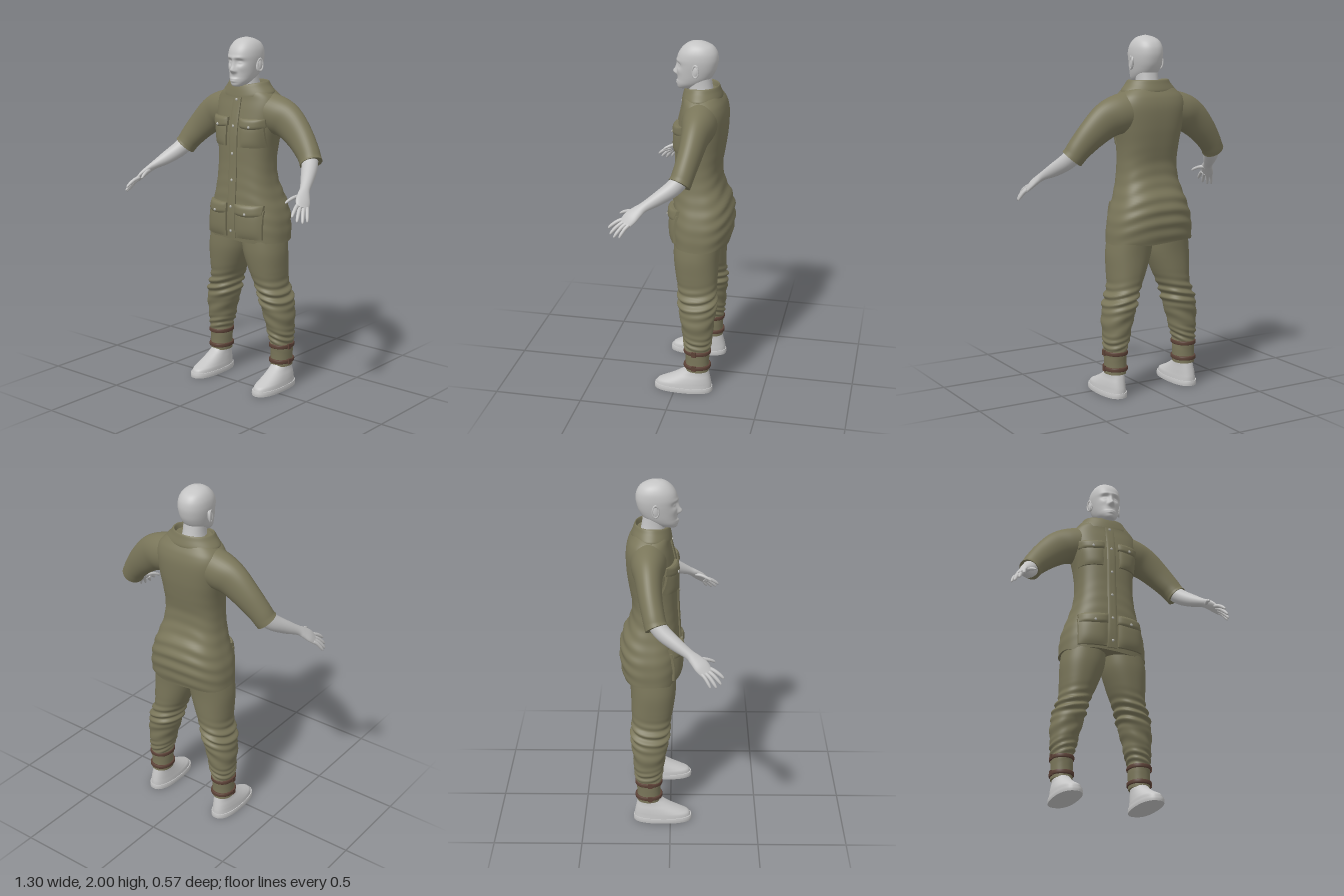
import * as THREE from 'three';

const V = (x, y, z) => new THREE.Vector3(x, y, z);
const mat = (name, color, side = THREE.FrontSide) => {
  const m = new THREE.MeshStandardMaterial({ color, side });
  m.name = name;
  return m;
};
const bump = (d, s) => Math.exp(-(d * d) / (2 * s * s));

// Catmull-Rom interpolation through a table of rows, t in 0..1
function rowAt(rows, t) {
  const f = t * (rows.length - 1), i = Math.min(Math.floor(f), rows.length - 2), u = f - i;
  const r = k => rows[Math.max(0, Math.min(rows.length - 1, k))];
  return rows[0].map((_, c) => {
    const a = r(i - 1)[c], b = r(i)[c], d = r(i + 1)[c], e = r(i + 2)[c];
    return b + 0.5 * u * (d - a + u * (2 * a - 5 * b + 4 * d - e + u * (3 * (b - d) + e - a)));
  });
}

// Joins rings of points into a smooth surface, with flat caps at both ends
function skin(rings, caps = true) {
  const n = rings[0].length, pos = [], idx = [];
  rings.forEach(r => r.forEach(p => pos.push(p.x, p.y, p.z)));
  for (let j = 0; j < rings.length - 1; j++)
    for (let i = 0; i < n; i++) {
      const a = j * n + i, b = j * n + (i + 1) % n;
      idx.push(a, b, a + n, b, b + n, a + n);
    }
  if (caps) [rings[0], rings[rings.length - 1]].forEach((r, end) => {
    const s = pos.length / 3, c = V(0, 0, 0);
    r.forEach(p => { pos.push(p.x, p.y, p.z); c.addScaledVector(p, 1 / n); });
    pos.push(c.x, c.y, c.z);
    for (let i = 0; i < n; i++) {
      const a = s + i, b = s + (i + 1) % n;
      idx.push(s + n, end ? a : b, end ? b : a);
    }
  });
  const g = new THREE.BufferGeometry();
  g.setAttribute('position', new THREE.Float32BufferAttribute(pos, 3));
  g.setIndex(idx);
  g.computeVertexNormals();
  return g;
}

// Upright loft; rows are [y, xMin, xMax, zFront, zBack], n is the squareness
function loft(rows, { n = 2.2, seg = 48, rings = 40, warp = null, caps = true } = {}) {
  const out = [];
  for (let j = 0; j <= rings; j++) {
    const [y, x0, x1, zf, zb] = rowAt(rows, j / rings), ring = [];
    for (let i = 0; i < seg; i++) {
      const th = i / seg * Math.PI * 2, s = Math.sin(th), c = Math.cos(th);
      const p = V((x0 + x1) / 2 + (x1 - x0) / 2 * Math.sign(s) * Math.abs(s) ** (2 / n), y,
        (zf + zb) / 2 + (zf - zb) / 2 * Math.sign(c) * Math.abs(c) ** (2 / n));
      if (warp) warp(p, s, c);
      ring.push(p);
    }
    out.push(ring);
  }
  return skin(out, caps);
}

// Bent limb; rows are [x, y, z, radius along ref, radius across]
function limb(rows, ref, side, seg = 24, rings = 20) {
  const at = t => { const r = rowAt(rows, t); r[0] *= side; return r; };
  const R = V(ref[0] * side, ref[1], ref[2]), out = [];
  for (let j = 0; j <= rings; j++) {
    const t = j / rings, [x, y, z, ra, rb] = at(t);
    const T = V(...at(Math.min(1, t + 0.01))).sub(V(...at(Math.max(0, t - 0.01)))).normalize();
    const A = R.clone().addScaledVector(T, -R.dot(T)).normalize(), B = T.clone().cross(A);
    out.push(Array.from({ length: seg }, (_, i) => {
      const th = i / seg * Math.PI * 2;
      return V(x, y, z).addScaledVector(A, ra * Math.cos(th)).addScaledVector(B, rb * Math.sin(th));
    }));
  }
  return skin(out);
}

const sym = rows => rows.map(([y, w, f, b]) => [y, -w, w, f, b]);
const TORSO_N = 2.6;
const torsoRows = sym([[0.865, 0.25, 0.045, -0.27], [0.94, 0.246, 0.052, -0.283], [1.02, 0.232, 0.052, -0.285],
  [1.1, 0.205, 0.048, -0.272], [1.2, 0.178, 0.042, -0.228], [1.3, 0.169, 0.037, -0.215], [1.4, 0.174, 0.036, -0.23],
  [1.5, 0.19, 0.03, -0.243], [1.6, 0.205, 0.012, -0.245], [1.66, 0.195, -0.002, -0.232], [1.7, 0.16, -0.008, -0.21], [1.73, 0.11, -0.02, -0.19]]);

// Depth of the jacket front at a given x and y
function frontZ(x, y) {
  let lo = 0, hi = 1;
  for (let i = 0; i < 18; i++) { const m = (lo + hi) / 2; rowAt(torsoRows, m)[0] < y ? lo = m : hi = m; }
  const [, , w, f, b] = rowAt(torsoRows, lo), u = Math.min(1, Math.abs(x) / w);
  return (f + b) / 2 + (f - b) / 2 * (1 - u ** TORSO_N) ** (1 / TORSO_N);
}

// Padded cloth panel that follows the jacket front; drop lowers the middle of its bottom edge
function panel(x0, x1, y0, y1, t, drop = 0) {
  const g = new THREE.BoxGeometry(2, 2, 2, 14, 14, 1), p = g.attributes.position;
  for (let i = 0; i < p.count; i++) {
    const u = p.getX(i), v = p.getY(i), x = x0 + (x1 - x0) * (u + 1) / 2;
    const y = y0 + (y1 - y0) * (v + 1) / 2 - drop * (1 - u * u) * (1 - v) / 2;
    const puff = t * (0.6 + 0.4 * (1 - u ** 4) * (1 - v ** 4));
    p.setXYZ(i, x, y, frontZ(x, y) + (p.getZ(i) > 0 ? puff : -0.02));
  }
  g.computeVertexNormals();
  return g;
}

export function createModel() {
  const root = new THREE.Group();
  root.name = 'figure';
  const skinMat = mat('light grey', 0xc4c4c4), cloth = mat('olive cloth', 0x7a765a);
  const leather = mat('brown leather', 0x5c4237), metal = mat('button metal', 0xb4b4ae);
  const add = (name, geo, m, parent = root) => {
    const o = new THREE.Mesh(geo, m);
    o.name = name;
    parent.add(o);
    return o;
  };

  // Head with sculpted face: [x, y, spread x, spread y, depth]
  const face = [[0, 1.825, 0.011, 0.012, 0.022], [0, 1.855, 0.008, 0.022, 0.012], [0, 1.775, 0.018, 0.005, 0.008],
    [0, 1.763, 0.015, 0.005, 0.008], [0, 1.745, 0.018, 0.009, 0.004]];
  for (const s of [-1, 1]) face.push([s * 0.034, 1.868, 0.015, 0.011, -0.016], [s * 0.034, 1.866, 0.01, 0.006, 0.008],
    [s * 0.03, 1.892, 0.02, 0.007, 0.005], [s * 0.014, 1.819, 0.006, 0.006, 0.008], [s * 0.045, 1.835, 0.014, 0.014, 0.004]);
  add('head', loft(sym([[1.732, 0.012, 0.02, -0.01], [1.738, 0.032, 0.03, -0.05], [1.76, 0.054, 0.035, -0.1],
    [1.79, 0.068, 0.034, -0.145], [1.83, 0.078, 0.034, -0.172], [1.87, 0.085, 0.035, -0.185], [1.905, 0.087, 0.036, -0.189],
    [1.94, 0.082, 0.024, -0.182], [1.97, 0.067, 0, -0.16], [1.99, 0.042, -0.03, -0.12], [2, 0.004, -0.071, -0.079]]), {
    seg: 112, rings: 100, warp: (p, s, c) => {
      if (c > 0) for (const [x, y, sx, sy, d] of face) p.z += d * bump(p.x - x, sx) * bump(p.y - y, sy) * Math.min(1, c * 2);
    },
  }), skinMat);
  add('neck', loft(sym([[1.66, 0.075, -0.03, -0.18], [1.74, 0.062, -0.03, -0.16], [1.8, 0.06, -0.03, -0.15]])), skinMat);

  // Jacket body with soft creases over waist and seat
  add('jacketBody', loft(torsoRows, {
    n: TORSO_N, seg: 96, rings: 90, warp: (p, s, c) => {
      const back = Math.max(0, -c), d = 0.004 * bump(p.y - 1.05, 0.13) * Math.sin(p.y * 85 + 5 * s * s + 3 * p.x) * (0.25 + back);
      p.x += s * d;
      p.z += c * d;
      if (p.y < 0.9) p.y += 0.006 * Math.sin(s * 5 + c * 3) * (0.9 - p.y) / 0.035;
    },
  }), cloth);
  add('collar', loft(sym([[1.69, 0.165, 0.008, -0.213], [1.705, 0.162, 0.006, -0.213], [1.735, 0.136, 0, -0.203],
    [1.757, 0.12, -0.008, -0.195], [1.752, 0.11, -0.015, -0.188], [1.71, 0.1, -0.025, -0.18]]), {
    n: 2, seg: 64, caps: false, warp: (p, s, c) => { p.y -= 0.018 * Math.max(0, c) ** 2; },
  }), mat('olive collar', 0x7a765a, THREE.DoubleSide));

  // Button placket and pockets
  const button = (x, y, t) => {
    const b = add('button', new THREE.SphereGeometry(0.008, 16, 10), metal);
    b.scale.z = 0.6;
    b.position.set(x, y, frontZ(x, y) + t);
  };
  add('placket', panel(-0.027, 0.027, 0.88, 1.695, 0.012), cloth);
  for (const y of [1.66, 1.515, 1.36, 1.21, 1.06, 0.92]) button(0, y, 0.012);
  for (const s of [-1, 1]) {
    const pocket = (name, a, b, ...r) => add(name, panel(Math.min(a * s, b * s), Math.max(a * s, b * s), ...r), cloth);
    pocket('chestPocket', 0.05, 0.172, 1.4, 1.53, 0.02);
    pocket('chestPocketFlap', 0.042, 0.18, 1.515, 1.56, 0.028, 0.014);
    pocket('hipPocket', 0.035, 0.192, 0.885, 1.05, 0.022);
    pocket('hipPocketFlap', 0.03, 0.188, 1.025, 1.078, 0.03, 0.014);
    button(s * 0.112, 1.517, 0.029);
    button(s * 0.108, 1.03, 0.031);
  }

  for (const s of [-1, 1]) {
    const side = new THREE.Group();
    side.name = s > 0 ? 'leftSide' : 'rightSide';
    root.add(side);
    const mx = rows => rows.map(([y, a, b, f, k]) => s > 0 ? [y, a, b, f, k] : [y, -b, -a, f, k]);

    // Ear
    const ear = add('ear', new THREE.SphereGeometry(1, 20, 14), skinMat, side);
    ear.scale.set(0.011, 0.036, 0.019);
    ear.position.set(s * 0.088, 1.848, -0.079);
    ear.rotation.set(-0.2, s * -0.3, 0);
    const rim = add('earRim', new THREE.TorusGeometry(0.018, 0.004, 8, 24), skinMat, side);
    rim.scale.y = 1.8;
    rim.position.set(s * 0.096, 1.85, -0.08);
    rim.rotation.set(0, Math.PI / 2 - s * 0.3, 0);

    // Sleeve, forearm and hand
    add('sleeve', limb([[0.08, 1.595, -0.115, 0.105, 0.115], [0.2, 1.573, -0.118, 0.092, 0.108], [0.275, 1.54, -0.115, 0.074, 0.1],
      [0.355, 1.472, -0.105, 0.064, 0.084], [0.42, 1.4, -0.088, 0.06, 0.07], [0.448, 1.36, -0.077, 0.06, 0.064],
      [0.46, 1.343, -0.07, 0.062, 0.065]], [0, 0, 1], s, 40, 40), cloth, side);
    const across = [-0.48, 0.3, 0.82];
    add('forearm', limb([[0.44, 1.375, -0.085, 0.045, 0.05], [0.475, 1.322, -0.035, 0.044, 0.046], [0.513, 1.275, 0.035, 0.036, 0.038],
      [0.547, 1.238, 0.1, 0.028, 0.024], [0.563, 1.217, 0.13, 0.034, 0.02], [0.583, 1.187, 0.165, 0.042, 0.017],
      [0.6, 1.157, 0.192, 0.036, 0.011]], across, s, 28, 36), skinMat, side);
    [[[0.576, 1.175, 0.2], [0.6, 1.125, 0.282]], [[0.588, 1.165, 0.195], [0.622, 1.1, 0.268]],
      [[0.6, 1.16, 0.182], [0.64, 1.09, 0.243]], [[0.612, 1.157, 0.166], [0.648, 1.093, 0.212]],
      [[0.55, 1.212, 0.142], [0.521, 1.182, 0.238]]].forEach(([a, b], i) => {
      const r = i > 2 ? 0.0095 : 0.0105;
      const pts = [[0, 1.1], [0.4, 1], [0.75, 0.9], [0.95, 0.6], [1, 0.15]].map(([t, k]) =>
        [...a.map((v, c) => v + (b[c] - v) * t + (c === 1 ? 0.008 * Math.sin(t * Math.PI) : 0)), r * k, r * k]);
      add(i < 4 ? 'finger' : 'thumb', limb(pts, across, s, 14, 12), skinMat, side);
    });

    // Trouser leg with folds at the knee and cuff
    add('trouserLeg', loft(mx([[0.13, 0.17, 0.286, -0.058, -0.192], [0.2, 0.168, 0.286, -0.057, -0.192], [0.27, 0.166, 0.288, -0.05, -0.199],
      [0.34, 0.146, 0.292, -0.04, -0.208], [0.42, 0.128, 0.295, -0.026, -0.214], [0.5, 0.104, 0.288, -0.012, -0.224],
      [0.55, 0.096, 0.272, -0.006, -0.224], [0.62, 0.07, 0.25, 0.002, -0.22], [0.7, 0.036, 0.25, 0.017, -0.222],
      [0.8, 0.002, 0.25, 0.03, -0.225], [0.9, -0.01, 0.236, 0.03, -0.235]]), {
      seg: 64, rings: 110, warp: (p, sn, c) => {
        const o = sn * s;
        const d = 0.008 * bump(p.y - 0.55, 0.045) * Math.sin(p.y * 130 + o * 3 + c * 1.5)
          + 0.005 * bump(p.y - 0.3, 0.03) * Math.sin(p.y * 170 + o * 4 - c * 2)
          + 0.003 * bump(p.y - 0.42, 0.06) * Math.sin(p.y * 70 + o * 4);
        p.x += sn * d;
        p.z += c * d;
      },
    }), cloth, side);

    // Ankle straps with buckles
    for (const y of [0.16, 0.25]) {
      const band = (h, o) => [y + h, 0.168 - o, 0.287 + o, -0.053 + o, -0.196 - o];
      add('ankleStrap', loft(mx([band(-0.011, -0.002), band(-0.009, 0.006), band(0.009, 0.006), band(0.011, -0.002)]), { rings: 12 }), leather, side);
      add('buckle', new THREE.BoxGeometry(0.01, 0.03, 0.026), leather, side).position.set(s * 0.292, y, -0.115);
    }

    // Shoe and sole
    add('shoe', loft(mx([[0.02, 0.166, 0.3, 0.118, -0.21], [0.045, 0.168, 0.297, 0.108, -0.208], [0.062, 0.171, 0.294, 0.075, -0.205],
      [0.085, 0.175, 0.288, 0.025, -0.2], [0.11, 0.179, 0.28, -0.02, -0.194], [0.135, 0.181, 0.276, -0.055, -0.188],
      [0.17, 0.182, 0.275, -0.068, -0.185]]), { n: 2.3 }), skinMat, side);
    add('sole', loft(mx([[0, 0.162, 0.304, 0.124, -0.214], [0.014, 0.161, 0.305, 0.125, -0.215], [0.028, 0.163, 0.303, 0.122, -0.213]]),
      { n: 2.4, rings: 6 }), skinMat, side);
  }
  return root;
}
